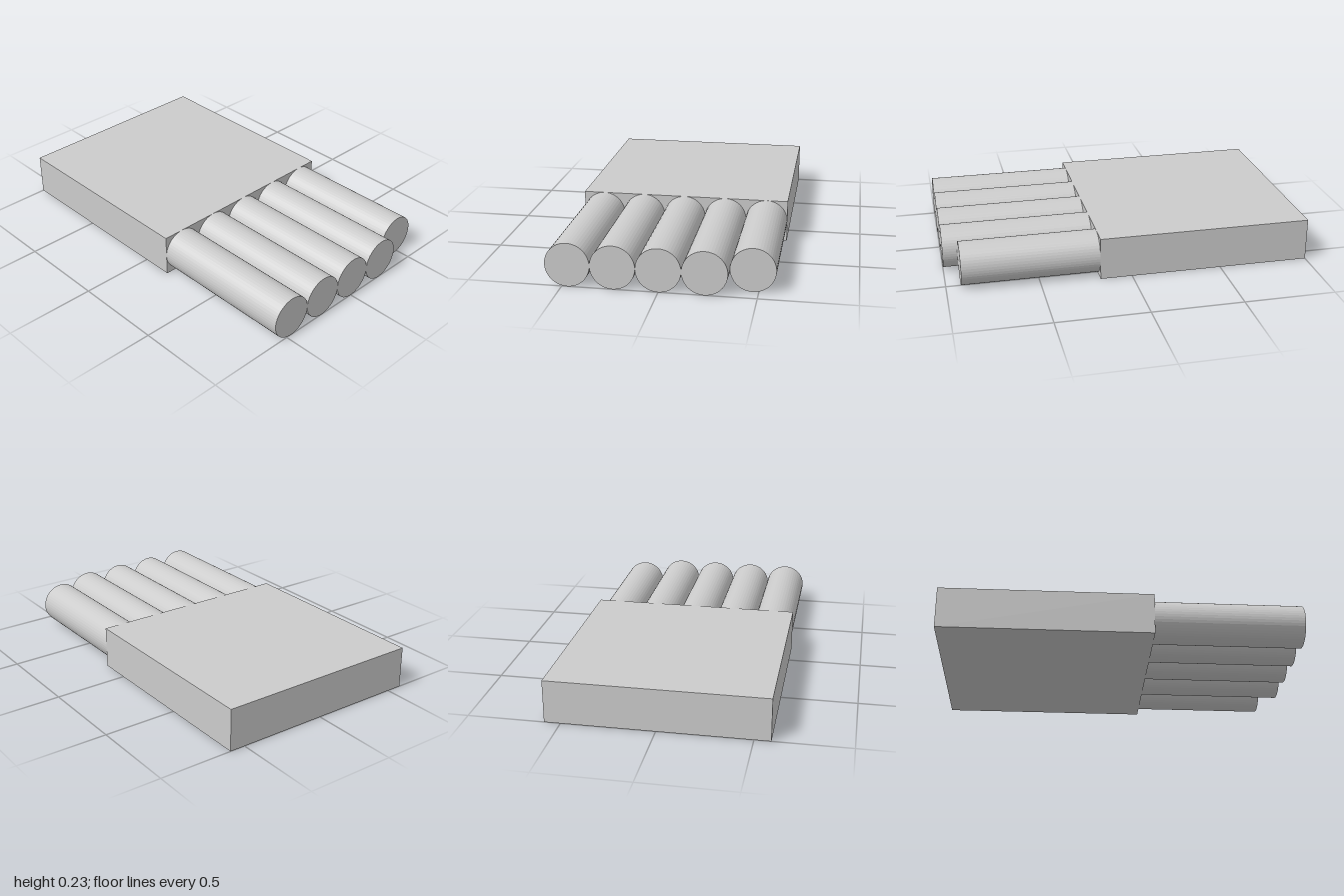
import * as THREE from 'three';

export function createModel() {
  const group = new THREE.Group();
  const material = new THREE.MeshStandardMaterial({ color: 0xcccccc, flatShading: true });

  const diameter = 0.235;
  const radius = diameter / 2;
  const count = 5;
  const back = -1;
  const joint = 0.175;

  // Flat rectangular block at the back
  const block = new THREE.Mesh(
    new THREE.BoxGeometry(diameter * count, diameter, joint - back), material);
  block.position.set(0, radius, (joint + back) / 2);
  block.name = 'block';
  group.add(block);

  // Row of round rods reaching forward; the leftmost is shorter
  for (let i = 0; i < count; i++) {
    const tip = i === count - 1 ? 0.92 : 1;
    const length = tip - joint;
    const geometry = new THREE.CylinderGeometry(radius, radius, length, 48).rotateX(Math.PI / 2);
    const rod = new THREE.Mesh(geometry, material);
    rod.position.set((i - (count - 1) / 2) * diameter, radius, joint + length / 2);
    rod.name = `rod${i + 1}`;
    group.add(rod);
  }

  return group;
}
